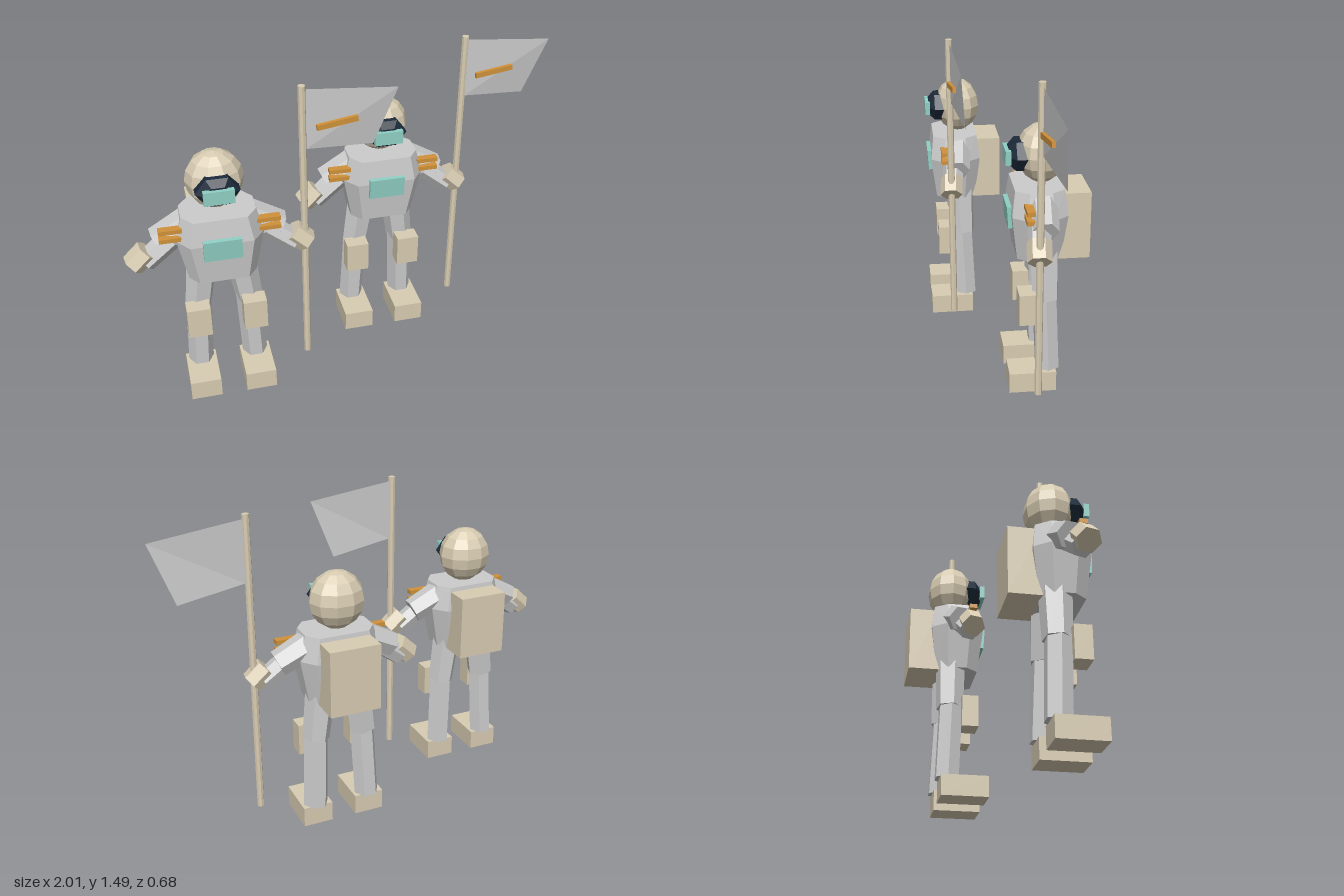
import * as THREE from 'three';
import { ConvexGeometry } from 'three/addons/geometries/ConvexGeometry.js';

const mat = (color) => new THREE.MeshStandardMaterial({ color, flatShading: true });
const suit = mat(0xcccccc), shell = mat(0xd8ccb2), teal = mat(0x8fcfc4);
const dark = mat(0x1c2a3a), gold = mat(0xd0923a);
const cloth = mat(0xcccccc);
cloth.side = THREE.DoubleSide;

const V = (x, y, z) => new THREE.Vector3(x, y, z);

function add(group, name, geometry, material, x = 0, y = 0, z = 0) {
  const mesh = new THREE.Mesh(geometry, material);
  mesh.name = name;
  mesh.position.set(x, y, z);
  group.add(mesh);
  return mesh;
}

const box = (group, name, material, w, h, d, x, y, z) =>
  add(group, name, new THREE.BoxGeometry(w, h, d), material, x, y, z);

// Tapered prism running from point a to point b
function limb(group, name, material, a, b, ra, rb, sides = 6) {
  const mesh = add(group, name, new THREE.CylinderGeometry(rb, ra, a.distanceTo(b), sides), material);
  mesh.position.copy(a).add(b).multiplyScalar(0.5);
  mesh.quaternion.setFromUnitVectors(V(0, 1, 0), b.clone().sub(a).normalize());
  return mesh;
}

// Torso from chamfered rectangular sections: [y, half width, half depth]
function torsoGeometry() {
  const points = [];
  for (const [y, w, d] of [[0.625, 0.148, 0.097], [0.83, 0.188, 0.122], [0.945, 0.16, 0.108]]) {
    for (const sx of [-1, 1]) for (const sz of [-1, 1]) {
      points.push(V(sx * w, y, sz * d * 0.45), V(sx * w * 0.72, y, sz * d));
    }
  }
  return new ConvexGeometry(points);
}

function flagGeometry() {
  const geometry = new THREE.PlaneGeometry(1, 1);
  const corners = [[0.385, 1.465, 0.052], [0.785, 1.42, 0.03], [0.385, 1.19, 0.052], [0.687, 1.155, 0.008]];
  corners.forEach((c, i) => geometry.attributes.position.setXYZ(i, ...c));
  geometry.computeVertexNormals();
  return geometry;
}

function createFigure() {
  const g = new THREE.Group();

  // Helmet and faceplate
  add(g, 'helmet', new THREE.SphereGeometry(1, 10, 8), shell, 0, 1.078, 0).scale.set(0.126, 0.131, 0.11);
  const rim = [[0, 0.145], [0.055, 0.145], [0.094, 0.115], [0.094, 0.05], [0, 0.05]]
    .reverse().map(([r, h]) => new THREE.Vector2(r, h));
  const visor = add(g, 'visor', new THREE.LatheGeometry(rim, 6, Math.PI / 6 * 3), dark, 0, 1.075, 0);
  visor.rotation.x = Math.PI / 2;
  visor.scale.set(1, 1, 0.78);
  box(g, 'visorPlate', teal, 0.13, 0.062, 0.024, 0, 1.074, 0.15);

  // Body and pack
  add(g, 'torso', torsoGeometry(), suit, 0, 0, 0.02);
  box(g, 'chestPanel', teal, 0.165, 0.098, 0.03, 0, 0.81, 0.141).rotation.x = 0.06;
  box(g, 'backpack', shell, 0.235, 0.305, 0.14, 0, 0.773, -0.134);

  // Arms and legs
  for (const [s, side] of [[1, 'left'], [-1, 'right']]) {
    const P = (x, y, z) => V(s * x, y, z);
    limb(g, side + 'UpperArm', suit, P(0.12, 0.89, 0.01), P(0.27, 0.815, 0.02), 0.068, 0.06);
    limb(g, side + 'Forearm', suit, P(0.205, 0.83, 0.035), P(0.325, 0.735, 0.05), 0.052, 0.048);
    limb(g, side + 'Hand', shell, P(0.313, 0.793, 0.052), P(0.379, 0.731, 0.058), 0.053, 0.053);
    for (const y of [0.893, 0.852]) {
      box(g, side + 'ArmStripe', gold, 0.1, 0.02, 0.035, s * 0.21, y, 0.077);
    }
    limb(g, side + 'Thigh', suit, P(0.085, 0.66, -0.005), P(0.115, 0.43, -0.01), 0.07, 0.062);
    limb(g, side + 'Shin', suit, P(0.113, 0.45, -0.005), P(0.128, 0.09, -0.02), 0.058, 0.058);
    box(g, side + 'KneePad', shell, 0.105, 0.147, 0.075, s * 0.126, 0.403, 0.077);
    box(g, side + 'Boot', shell, 0.14, 0.095, 0.212, s * 0.128, 0.0475, 0.053);
  }

  // Flag in the left hand
  limb(g, 'flagPole', shell, V(0.37, 0.1, 0.056), V(0.37, 1.485, 0.056), 0.016, 0.016, 8);
  add(g, 'flag', flagGeometry(), cloth);
  const bar = box(g, 'flagBar', gold, 0.18, 0.024, 0.016, 0.518, 1.3, 0.056);
  bar.rotation.set(0, 0.08, 0.1);
  return g;
}

export function createModel() {
  const model = new THREE.Group();
  model.name = 'flagBearers';
  [['frontFigure', -0.593, 0.175], ['rearFigure', 0.214, -0.135]].forEach(([name, x, z]) => {
    const figure = createFigure();
    figure.name = name;
    figure.position.set(x, 0, z);
    model.add(figure);
  });
  return model;
}
